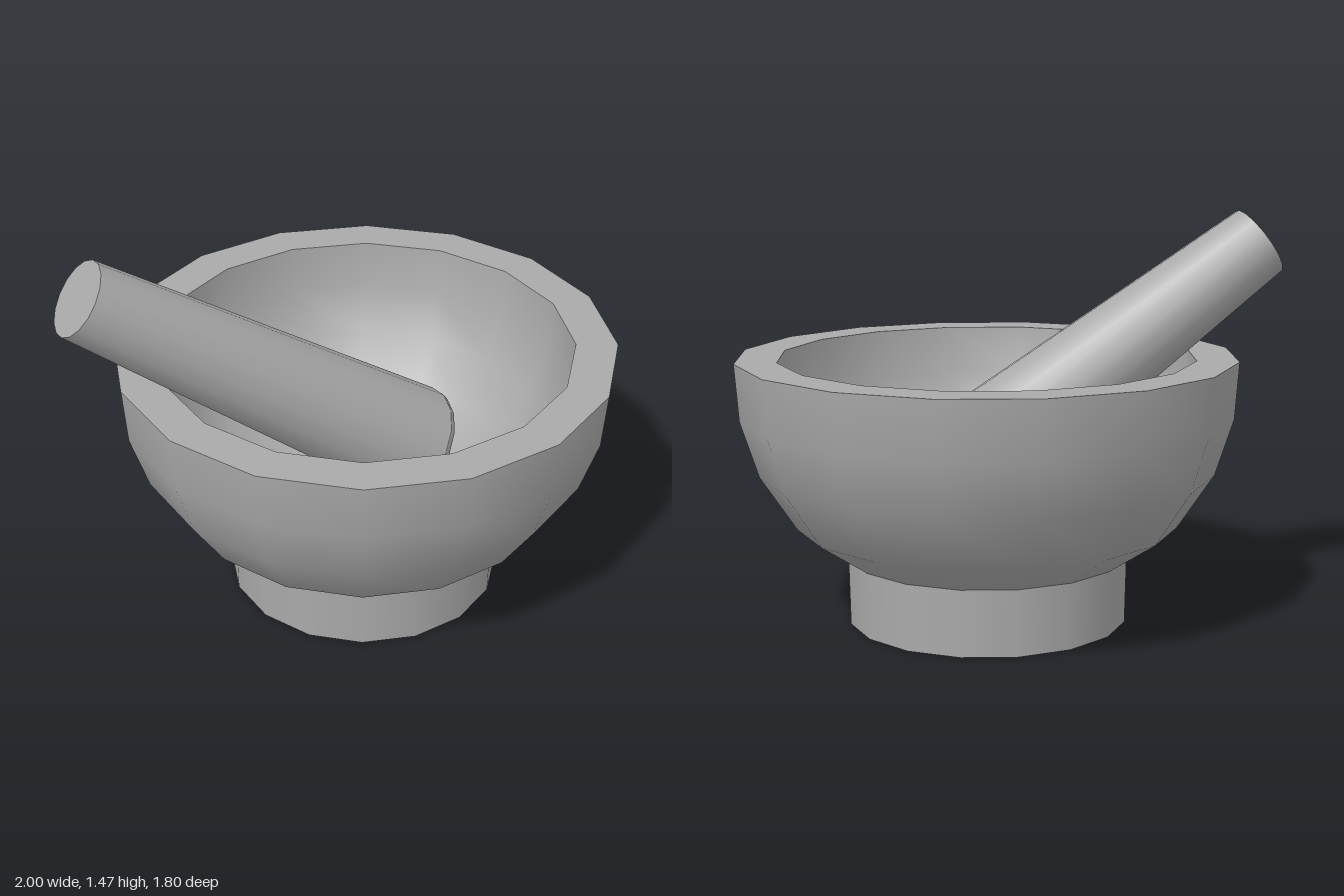
import * as THREE from 'three';

const SIDES = 16;

// One smooth lathed group; each profile is a separate band so edges between bands stay sharp
function turned(name, bands, material) {
  const group = new THREE.Group();
  group.name = name;
  for (const [bandName, profile] of Object.entries(bands)) {
    const points = profile.map(([r, y]) => new THREE.Vector2(r, y));
    const mesh = new THREE.Mesh(new THREE.LatheGeometry(points, SIDES), material);
    mesh.name = bandName;
    group.add(mesh);
  }
  return group;
}

export function createModel() {
  const stone = new THREE.MeshStandardMaterial({ color: 0xaaaaaa });
  stone.name = 'grey stone';

  const model = new THREE.Group();
  model.name = 'mortarAndPestle';

  // Mortar: hollow foot ring, faceted round bowl, flat rim and hollow interior
  const mortar = turned('mortar', {
    footRecessFloor: [[0, 0.09], [0.35, 0.09]],
    footRecessWall: [[0.35, 0.09], [0.41, 0]],
    footUnderside: [[0.41, 0], [0.505, 0]],
    footWall: [[0.505, 0], [0.51, 0.24]],
    bowlOutside: [[0.51, 0.24], [0.69, 0.36], [0.82, 0.557], [0.885, 0.76], [0.9, 0.965]],
    rim: [[0.9, 0.965], [0.75, 0.965]],
    bowlInside: [[0.75, 0.965], [0.735, 0.79], [0.67, 0.61], [0.55, 0.45], [0.36, 0.33], [0.18, 0.29], [0, 0.28]],
  }, stone);
  mortar.position.x = 0.1;
  model.add(mortar);

  // Pestle: tapered stick with a bevelled grinding end, leaning on the rim
  const pestle = turned('pestle', {
    grindingFace: [[0, 0], [0.185, 0]],
    grindingBevel: [[0.185, 0], [0.207, 0.015], [0.216, 0.04]],
    handle: [[0.216, 0.04], [0.138, 1.53]],
    handleEnd: [[0.138, 1.53], [0, 1.53]],
  }, stone);
  pestle.position.set(0.325, 0.467, 0);
  pestle.rotation.z = THREE.MathUtils.degToRad(54.5);
  model.add(pestle);

  return model;
}
